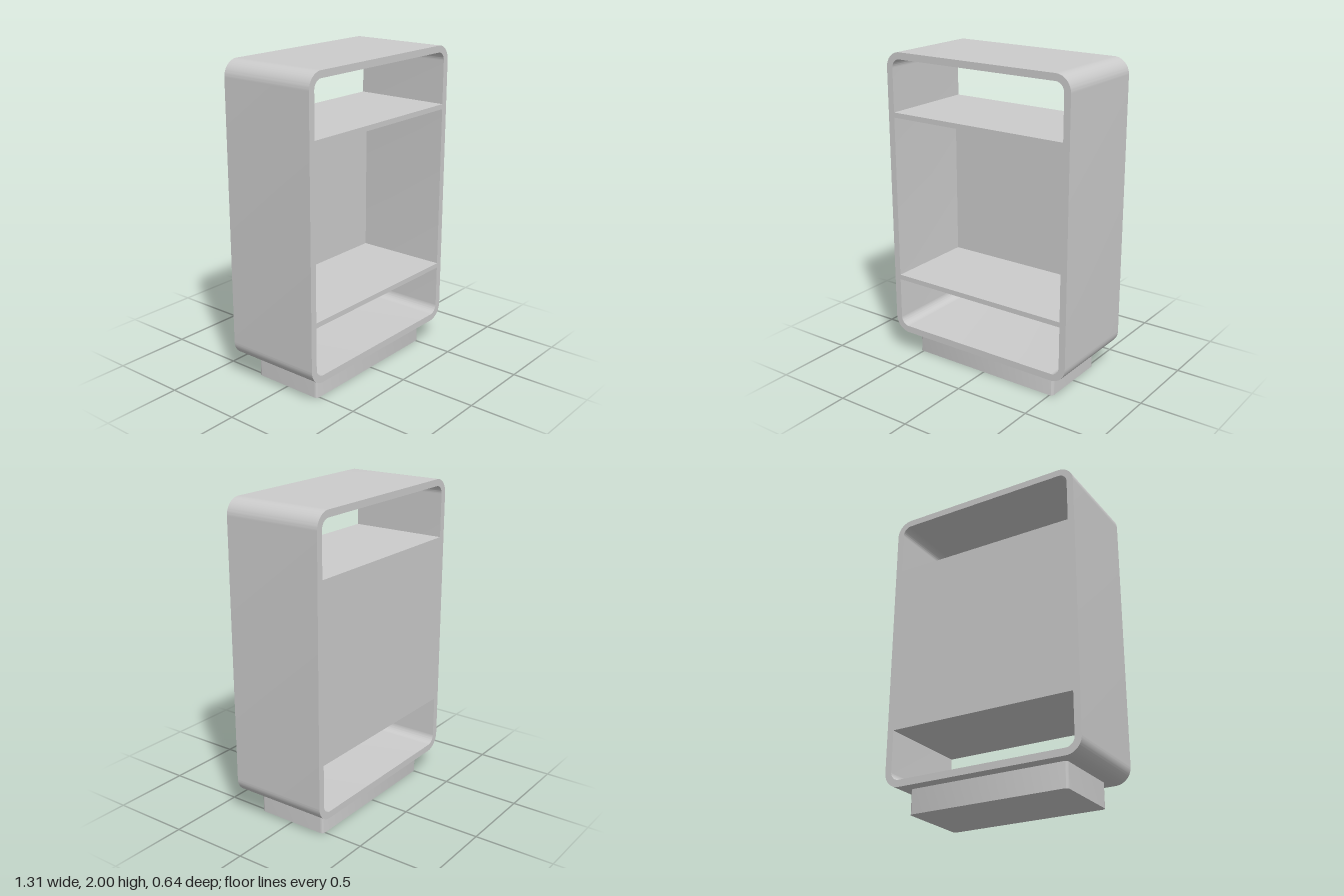
import * as THREE from 'three';
import { toCreasedNormals } from 'three/addons/utils/BufferGeometryUtils.js';

const material = new THREE.MeshStandardMaterial({ color: 0xcccccc });

// Trace a rounded rectangle centred on x = 0
function roundedRect(path, halfWidth, y0, y1, r) {
  const w = halfWidth;
  path.moveTo(-w + r, y0);
  path.lineTo(w - r, y0);
  path.absarc(w - r, y0 + r, r, -Math.PI / 2, 0);
  path.lineTo(w, y1 - r);
  path.absarc(w - r, y1 - r, r, 0, Math.PI / 2);
  path.lineTo(-w + r, y1);
  path.absarc(-w + r, y1 - r, r, Math.PI / 2, Math.PI);
  path.lineTo(-w, y0 + r);
  path.absarc(-w + r, y0 + r, r, Math.PI, Math.PI * 1.5);
  return path;
}

function extrude(shape, depth) {
  const geometry = new THREE.ExtrudeGeometry(shape, { depth, bevelEnabled: false, curveSegments: 12 });
  return toCreasedNormals(geometry, 0.6);
}

export function createModel() {
  const model = new THREE.Group();
  model.name = 'shelfCabinet';
  const add = (name, geometry, x = 0, y = 0, z = 0) => {
    const mesh = new THREE.Mesh(geometry, material);
    mesh.name = name;
    mesh.position.set(x, y, z);
    model.add(mesh);
  };

  const depth = 0.636;
  const innerWidth = 1.222;
  const shelfThickness = 0.032;
  const lowerShelfY = 0.535;
  const upperShelfY = 1.61;

  // Rounded outer frame, open front and back
  const frame = roundedRect(new THREE.Shape(), 0.654, 0.154, 2, 0.1);
  frame.holes.push(roundedRect(new THREE.Path(), innerWidth / 2, 0.198, 1.957, 0.057));
  add('frame', extrude(frame, depth), 0, 0, -depth / 2);

  // Two full-depth shelves
  const shelf = new THREE.BoxGeometry(innerWidth, shelfThickness, depth);
  add('lowerShelf', shelf, 0, lowerShelfY);
  add('upperShelf', shelf, 0, upperShelfY);

  // Back panel closing the middle compartment
  const panelHeight = upperShelfY - lowerShelfY - shelfThickness;
  add('backPanel', new THREE.BoxGeometry(innerWidth, panelHeight, 0.032),
    0, (lowerShelfY + upperShelfY) / 2, -depth / 2 + 0.016);

  // Plinth with softened upright edges
  const plinth = extrude(roundedRect(new THREE.Shape(), 0.522, -0.24, 0.24, 0.022), 0.154);
  plinth.rotateX(-Math.PI / 2);
  add('plinth', plinth);

  return model;
}
